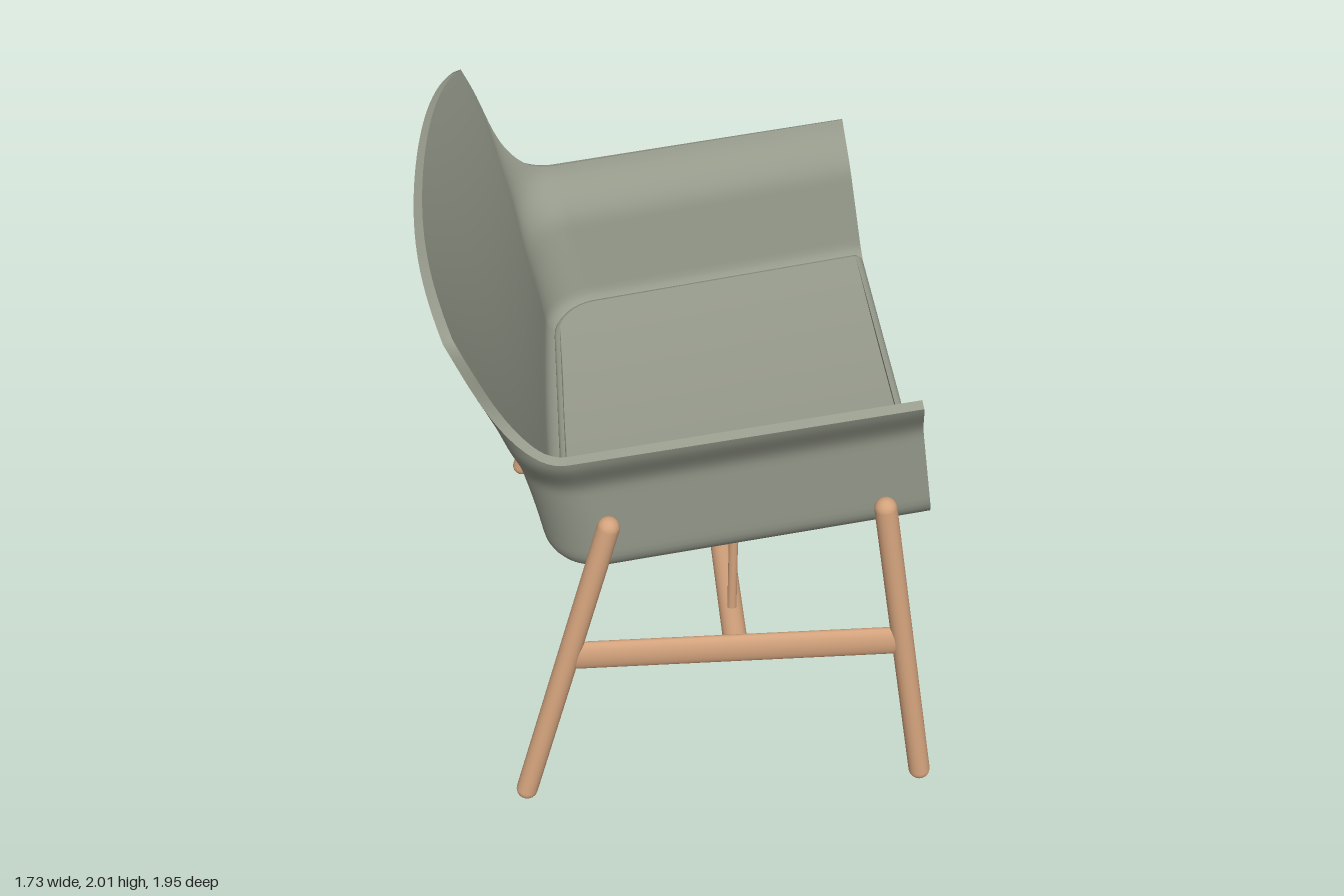
import * as THREE from 'three';
import { mergeGeometries } from 'three/addons/utils/BufferGeometryUtils.js';

const upholstery = new THREE.MeshStandardMaterial({ color: 0x989c8d });
upholstery.name = 'grey green upholstery';
const wood = new THREE.MeshStandardMaterial({ color: 0xd2a27c });
wood.name = 'light wood';

const { lerp, smoothstep, clamp } = THREE.MathUtils;
const TILT = Math.atan(0.16); // seat rises towards the front (+x)
const FRONT = 0.83;
const sag = (z) => 0.045 * (z / 0.8) ** 2; // the seat dips along its middle

// Smooth surface through a grid of points: grid[row][column]
function gridSurface(grid, flip = false) {
  const n = grid[0].length;
  const index = [];
  for (let i = 0; i < grid.length - 1; i++) {
    for (let j = 0; j < n - 1; j++) {
      const a = i * n + j, b = a + 1, c = a + n, d = c + 1;
      if (flip) index.push(a, b, c, b, d, c);
      else index.push(a, c, b, b, c, d);
    }
  }
  const geo = new THREE.BufferGeometry();
  geo.setAttribute('position', new THREE.Float32BufferAttribute(grid.flat().flatMap((p) => p.toArray()), 3));
  geo.setIndex(index);
  geo.computeVertexNormals();
  return geo;
}

// Half of the U-shaped plan: t 0..1 arm, 1..2 rear corner, 2..3 back to the middle
function plan(t, v, inset = 0) {
  const w = 0.815 + 0.085 * Math.min(v, 0.65) + 0.085 * smoothstep(v, 0.42, 0.65) - inset;
  const rear = -0.485 - 0.142 * v * v + inset;
  const r = 0.21 - 0.15 * smoothstep(v, 0.6, 1.05) - inset;
  const bow = 0.03 + 0.05 * v;
  const zc = w - r;
  const uc = rear + bow * (zc / 0.95) ** 2 + r;
  if (t <= 1) return [lerp(FRONT, uc, t), w];
  if (t <= 2) {
    const q = (t - 1) * Math.PI / 2;
    return [uc - r * Math.sin(q), zc + r * Math.cos(q)];
  }
  const z = zc * (3 - t);
  return [rear + bow * (z / 0.95) ** 2, z];
}

// Height of the rim: low arms sweeping up into the high back
function rimHeight(t) {
  if (t <= 1) return 0.618 + 0.02 * t;
  if (t <= 2) return 0.638 + 0.49 * (t - 1) ** 2.2;
  return 1.128 + 0.072 * (1 - (3 - t) ** 4);
}

// One column of the shell: floor, fillet, wall
function shellColumn(t, side) {
  const R = 0.12, pts = [];
  const add = (u, v, z) => pts.push(new THREE.Vector3(u, v, z * side));
  const [fu, fz] = plan(t, R, R);
  const su = plan(Math.min(t, 1), R, R)[0];
  for (let i = 0; i < 8; i++) {
    const k = i / 8;
    add(lerp(su, fu, k), sag(fz * k), fz * k);
  }
  const base = sag(fz);
  for (let i = 0; i <= 7; i++) {
    const q = i / 7 * Math.PI / 2;
    const [u, z] = plan(t, R, R * (1 - Math.sin(q)));
    add(u, base + R * (1 - Math.cos(q)), z);
  }
  for (let i = 1; i <= 20; i++) {
    const v = lerp(R, rimHeight(t), i / 20);
    const [u, z] = plan(t, v);
    add(u, Math.max(v, lerp(base + R, rimHeight(t), i / 20)), z);
  }
  return pts;
}

function shellGeometry() {
  const N = 48, thickness = 0.033, cols = [];
  for (let j = 0; j <= 2 * N; j++) {
    const k = Math.min(j, 2 * N - j) / N * 3;
    cols.push(shellColumn(k, j <= N ? 1 : -1));
  }
  const rows = cols[0].length;
  const outer = cols[0].map((_, i) => cols.map((c) => c[i]));
  const outerGeo = gridSurface(outer);
  const normal = outerGeo.attributes.normal;
  for (let j = 0; j <= 2 * N; j++) normal.setXYZ(j, 0, -1, 0);
  const inner = outer.map((row, i) => row.map((p, j) => {
    const n = new THREE.Vector3().fromBufferAttribute(normal, i * row.length + j);
    return p.clone().addScaledVector(n, -thickness);
  }));
  const innerGeo = gridSurface(inner, true);
  for (let j = 0; j <= 2 * N; j++) innerGeo.attributes.normal.setXYZ(j, 0, 1, 0);
  // Edge strips along the rim and both halves of the front
  const rim = gridSurface([outer[rows - 1], inner[rows - 1]]);
  const edge = (j, flip) => gridSurface([outer.map((r) => r[j]), inner.map((r) => r[j])], flip);
  return mergeGeometries([outerGeo, innerGeo, rim, edge(0, true), edge(2 * N, false)]);
}

// Seat pad: rounded outline swept over a soft edge, closed above and below
function cushionGeometry() {
  const outline = (inset) => {
    const pts = [];
    const u0 = -0.41 + inset, u1 = 0.825 - inset, w = 0.72 - inset;
    const corner = (cu, cz, r, from) => {
      for (let i = 0; i <= 8; i++) {
        const q = from + i / 8 * Math.PI / 2;
        pts.push([cu + r * Math.cos(q), cz + r * Math.sin(q)]);
      }
    };
    const rr = 0.17 - inset, rf = 0.035 - inset;
    corner(u1 - rf, w - rf, rf, 0);
    corner(u0 + rr, w - rr, rr, Math.PI / 2);
    corner(u0 + rr, -w + rr, rr, Math.PI);
    corner(u1 - rf, -w + rf, rf, Math.PI * 1.5);
    pts.push(pts[0]);
    return pts;
  };
  const ring = (inset, v, k = 1) => outline(inset).map(([u, z]) => new THREE.Vector3(u, v + sag(z * k), z * k));
  const steps = [0, 1, 2, 3, 4, 5, 6, 7, 8];
  const side = [[0.02, 0.025], [0.006, 0.031], [0, 0.045], [0, 0.085], [0.003, 0.1], [0.012, 0.111], [0.026, 0.116]];
  return mergeGeometries([
    gridSurface(steps.map((i) => ring(0.02, 0.025, i / 8))),
    gridSurface(side.map(([inset, v]) => ring(inset, v))),
    gridSurface(steps.map((i) => ring(0.026, 0.116, 1 - i / 8))),
  ]);
}

// Round bar between two points, with domed or flat ends
function bar(name, a, b, radius, domed = false) {
  const from = new THREE.Vector3(...a), to = new THREE.Vector3(...b);
  const length = from.distanceTo(to);
  const geo = domed
    ? new THREE.CapsuleGeometry(radius, length, 8, 24)
    : new THREE.CylinderGeometry(radius, radius, length, 24);
  const mesh = new THREE.Mesh(geo, wood);
  mesh.name = name;
  mesh.position.copy(from).lerp(to, 0.5);
  mesh.quaternion.setFromUnitVectors(new THREE.Vector3(0, 1, 0), to.sub(from).normalize());
  return mesh;
}

export function createModel() {
  const chair = new THREE.Group();
  chair.name = 'armchair';

  // Upholstered tub, tilted back
  const seat = new THREE.Group();
  seat.name = 'seat';
  seat.position.y = 0.92;
  seat.rotation.z = TILT;
  const shell = new THREE.Mesh(shellGeometry(), upholstery);
  shell.name = 'shell';
  const cushion = new THREE.Mesh(cushionGeometry(), upholstery);
  cushion.name = 'cushion';
  seat.add(shell, cushion);
  chair.add(seat);

  // Wooden frame, mirrored across the middle
  for (const s of [1, -1]) {
    chair.add(bar('frontLeg', [0.825, 0.04, 0.935 * s], [0.64, 1.21, 0.877 * s], 0.038, true));
    chair.add(bar('rearLeg', [-0.585, 0.04, 0.935 * s], [-0.272, 1.18, 0.877 * s], 0.038, true));
    const rail = bar('sideRail', [-0.415, 0.643, 0.904 * s], [0.73, 0.643, 0.904 * s], 0.058);
    rail.scale.z = 0.45; // oval section
    chair.add(rail);
    chair.add(bar('strut', [0.155, 0.65, 0.735 * s], [0.155, 0.985, 0.735 * s], 0.016));
  }
  chair.add(bar('crossRail', [0.155, 0.643, -0.9], [0.155, 0.643, 0.9], 0.042));
  return chair;
}
